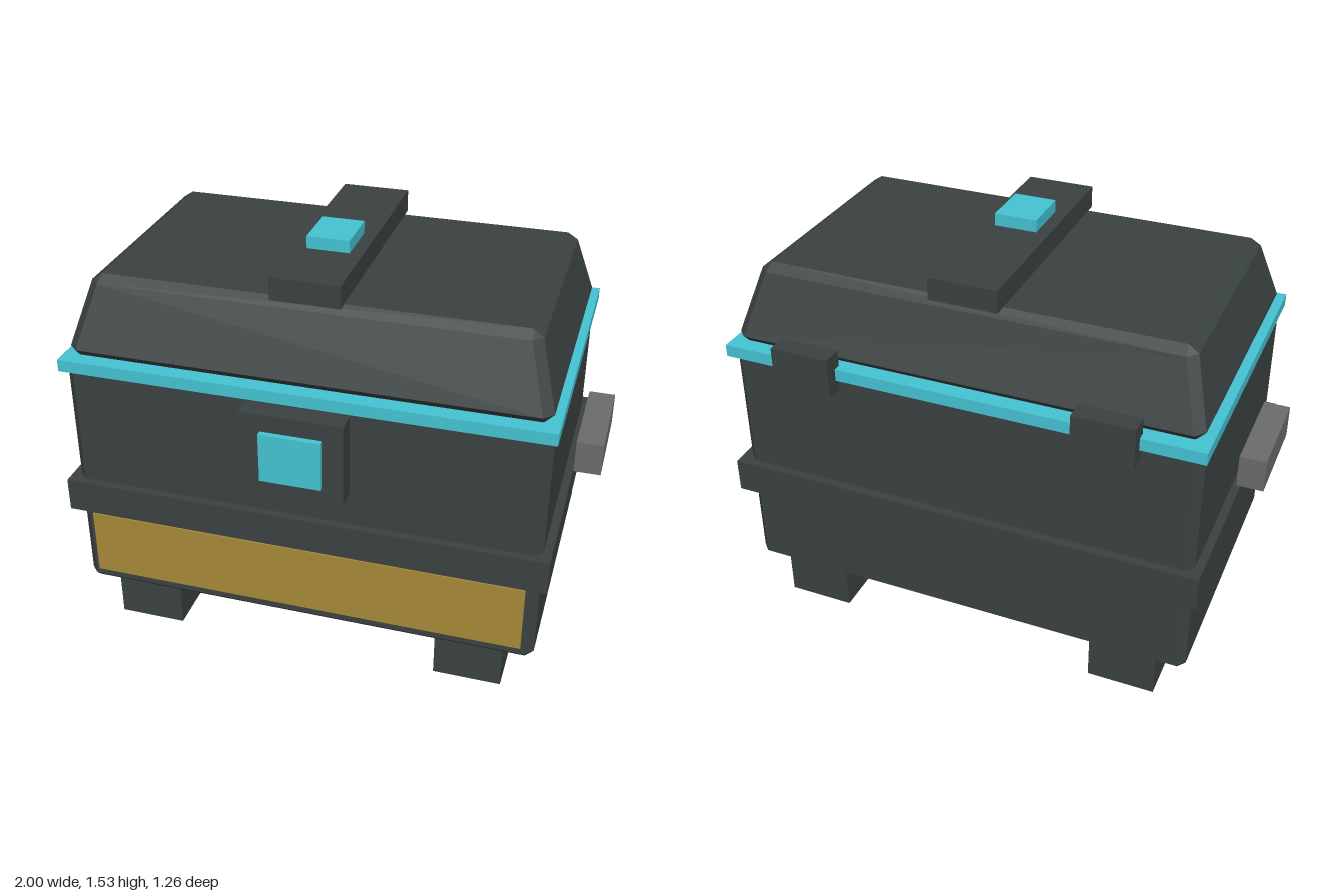
import * as THREE from 'three';
import { ConvexGeometry } from 'three/addons/geometries/ConvexGeometry.js';

const paint = (name, color) => {
  const m = new THREE.MeshStandardMaterial({ color });
  m.name = name;
  return m;
};

export function createModel() {
  const model = new THREE.Group();
  model.name = 'chest';
  const dark = paint('dark metal', 0x3a4241);
  const cyan = paint('cyan glow', 0x45c4d4);
  const gold = paint('gold panel', 0xa88a38);
  const grey = paint('handle grey', 0x6c6c6f);
  const midZ = -0.017; // body centre in depth

  const add = (name, geometry, material) => {
    const mesh = new THREE.Mesh(geometry, material);
    mesh.name = name;
    model.add(mesh);
    return mesh;
  };

  // Box given by its limits on each axis
  const box = (name, material, [x0, x1], [y0, y1], [z0, z1]) => {
    const mesh = add(name, new THREE.BoxGeometry(x1 - x0, y1 - y0, z1 - z0), material);
    mesh.position.set((x0 + x1) / 2, (y0 + y1) / 2, (z0 + z1) / 2);
    return mesh;
  };

  // Bevelled block from rings of [y, half width, half depth, corner cut]
  const bevelled = (name, material, rings) => {
    const points = [];
    for (const [y, w, d, cut] of rings)
      for (const sx of [-1, 1])
        for (const sz of [-1, 1]) {
          points.push(new THREE.Vector3(sx * w, y, sz * (d - cut)));
          if (cut) points.push(new THREE.Vector3(sx * (w - cut), y, sz * d));
        }
    add(name, new ConvexGeometry(points), material).position.z = midZ;
  };

  // Body and lid
  bevelled('body', dark, [
    [0.16, 0.83, 0.517, 0], [0.19, 0.86, 0.547, 0.03],
    [1.08, 0.86, 0.547, 0.03], [1.11, 0.83, 0.517, 0],
  ]);
  bevelled('lid', dark, [
    [1.12, 0.815, 0.5, 0], [1.155, 0.85, 0.533, 0.033],
    [1.38, 0.785, 0.447, 0.033], [1.405, 0.748, 0.41, 0],
  ]);

  // Bands around the body
  box('waistBand', dark, [-0.89, 0.89], [0.5, 0.627], [-0.597, 0.56]);
  box('glowRim', cyan, [-0.875, 0.875], [1.08, 1.125], [-0.583, 0.548]);

  // Front details
  box('frontPanel', gold, [-0.815, 0.815], [0.217, 0.475], [0.528, 0.536]);
  box('latchPlate', dark, [-0.185, 0.185], [0.755, 1.065], [0.5, 0.607]);
  box('latchLight', cyan, [-0.11, 0.11], [0.815, 1.0], [0.6, 0.628]);

  // Strap over the lid
  box('lidStrap', dark, [-0.125, 0.125], [1.404, 1.486], [-0.473, 0.433]);
  box('lidLight', cyan, [-0.078, 0.078], [1.48, 1.531], [-0.02, 0.168]);

  // Mirrored parts
  for (const [side, s] of [['left', 1], ['right', -1]]) {
    const span = (a, b) => (s > 0 ? [a, b] : [-b, -a]);
    box(side + 'Foot', dark, span(0.5, 0.75), [0, 0.165], [-0.533, 0.498]);
    box(side + 'Handle', grey, span(0.905, 1), [0.753, 0.875], [-0.205, 0.168]);
    box(side + 'Hinge', dark, span(0.437, 0.655), [1.035, 1.185], [-0.63, -0.554]);
  }
  return model;
}
